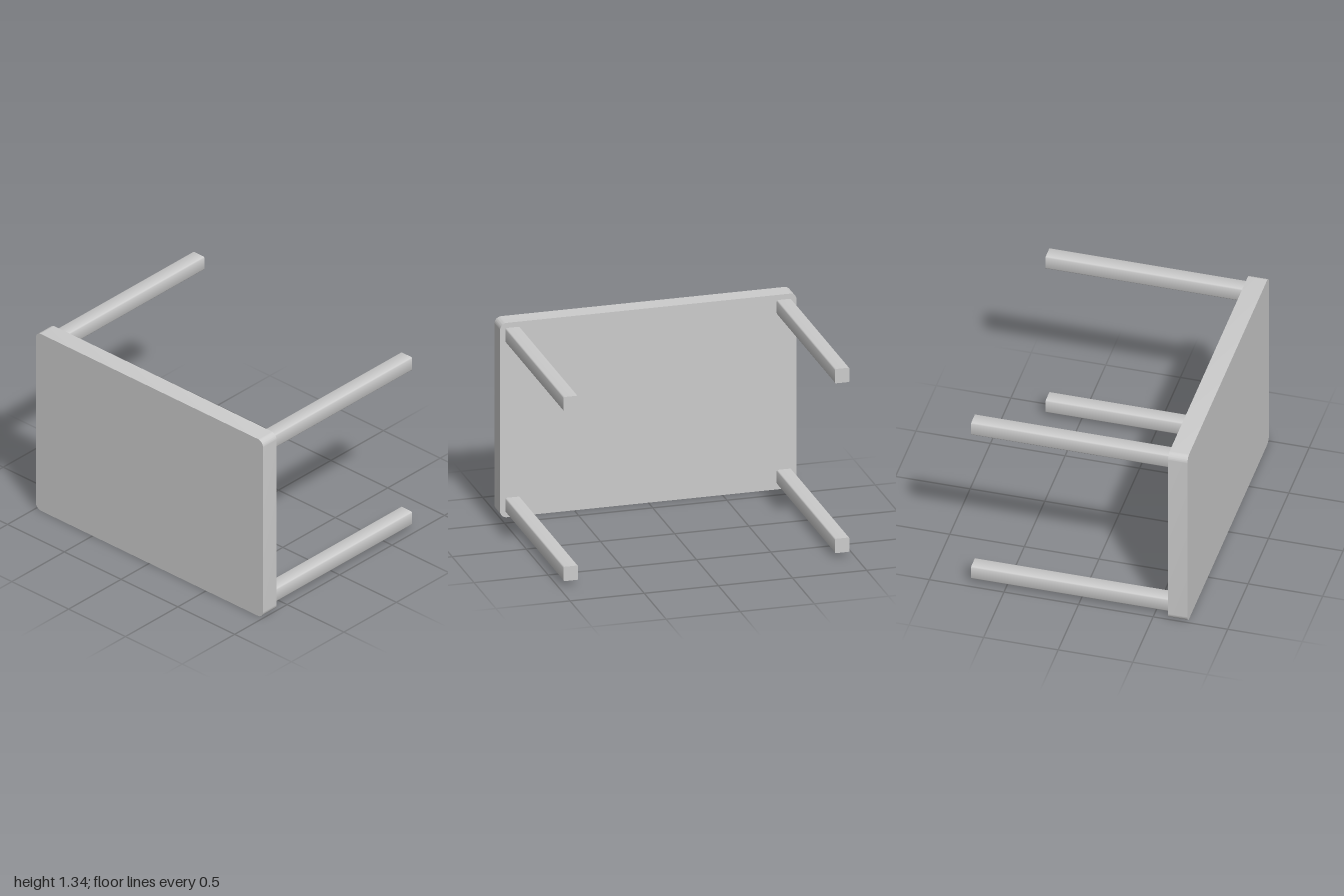
import * as THREE from 'three';
import { toCreasedNormals } from 'three/addons/utils/BufferGeometryUtils.js';

const HEIGHT = 1.342, FRONT = 0.73, BOARD_BACK = 0.6;
const material = new THREE.MeshStandardMaterial({ color: 0xcccccc });

// Bar with a rounded rectangular section, running along z from z0 to z1
function roundedBar(width, height, radius, z0, z1) {
  const x = width / 2 - radius, y = height / 2 - radius;
  const shape = new THREE.Shape();
  shape.absarc(x, y, radius, 0, Math.PI / 2);
  shape.absarc(-x, y, radius, Math.PI / 2, Math.PI);
  shape.absarc(-x, -y, radius, Math.PI, Math.PI * 1.5);
  shape.absarc(x, -y, radius, Math.PI * 1.5, Math.PI * 2);
  const geometry = new THREE.ExtrudeGeometry(shape, {
    depth: z1 - z0, bevelEnabled: false, curveSegments: 8,
  });
  geometry.translate(0, 0, z0);
  return toCreasedNormals(geometry, Math.PI / 5);
}

export function createModel() {
  const table = new THREE.Group();
  table.name = 'table';

  // Table top, standing on its long edge and facing forward
  const top = new THREE.Mesh(roundedBar(2, HEIGHT, 0.046, BOARD_BACK, FRONT), material);
  top.name = 'tableTop';
  top.position.y = HEIGHT / 2;
  table.add(top);

  // Four legs pointing backward from the corners
  const legGeometry = roundedBar(0.099, 0.099, 0.009, -FRONT, BOARD_BACK);
  for (const [side, sx] of [['left', 1], ['right', -1]]) {
    for (const [level, sy] of [['Upper', 1], ['Lower', -1]]) {
      const leg = new THREE.Mesh(legGeometry, material);
      leg.name = `${side}${level}Leg`;
      leg.position.set(sx * 0.915, HEIGHT / 2 + sy * 0.586, 0);
      table.add(leg);
    }
  }
  return table;
}
